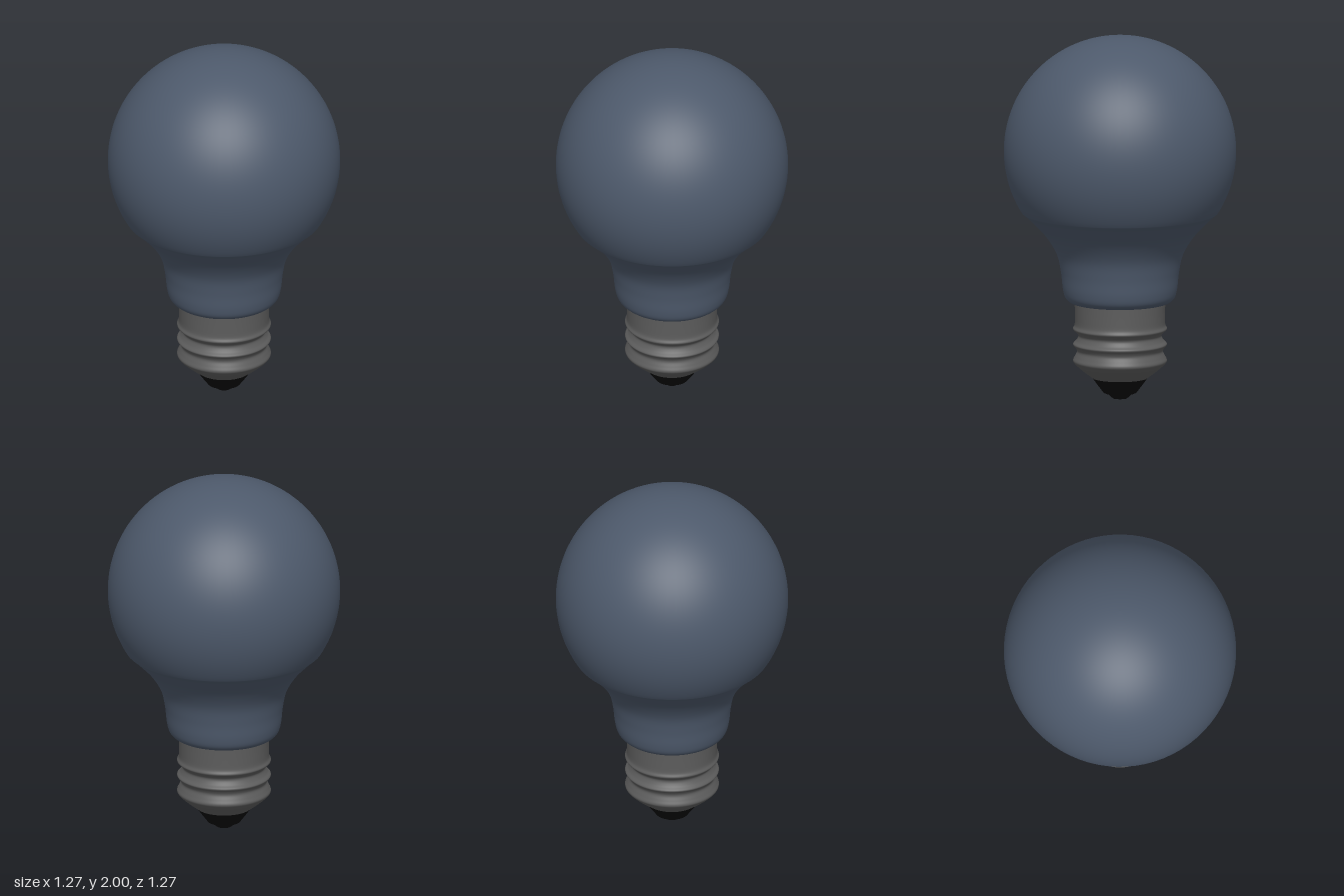
import * as THREE from 'three';

const glass = new THREE.MeshStandardMaterial({ color: 0x4d596b });
glass.name = 'slate blue glass';
const metal = new THREE.MeshStandardMaterial({ color: 0x5c5c5c });
metal.name = 'grey metal';
const black = new THREE.MeshStandardMaterial({ color: 0x0a0a0a });
black.name = 'black insulator';

const toPoints = (list) => list.map(([r, y]) => new THREE.Vector2(r, y));
const smooth = (list, n) => new THREE.SplineCurve(toPoints(list)).getPoints(n);

// Revolve a bottom-to-top profile around the y axis
function revolve(name, points, material) {
  const mesh = new THREE.Mesh(new THREE.LatheGeometry(points, 72), material);
  mesh.name = name;
  return mesh;
}

export function createModel() {
  const bulb = new THREE.Group();
  bulb.name = 'lightBulb';

  // Glass envelope: flared neck that runs into a spherical dome
  const radius = 0.633, centre = 1.367, start = -0.56;
  const neck = smooth([
    [0.235, 0.528], [0.27, 0.535], [0.298, 0.56], [0.312, 0.61], [0.322, 0.7],
    [0.345, 0.8], [0.405, 0.9], [0.485, 0.985],
    [radius * Math.cos(start), centre + radius * Math.sin(start)],
  ], 48);
  const dome = [];
  for (let i = 1; i <= 48; i++) {
    const a = start + (Math.PI / 2 - start) * i / 48;
    dome.push(new THREE.Vector2(Math.max(0, radius * Math.cos(a)), centre + radius * Math.sin(a)));
  }
  bulb.add(revolve('glassEnvelope', [...neck, ...dome], glass));

  // Screw cap: tapered bottom, three rounded ridges and a plain collar
  const cap = smooth([
    [0.15, 0.115], [0.2, 0.153], [0.24, 0.188], [0.256, 0.21], [0.246, 0.235],
    [0.234, 0.262], [0.241, 0.282], [0.256, 0.302], [0.238, 0.322], [0.226, 0.348],
    [0.238, 0.368], [0.256, 0.386], [0.247, 0.41], [0.246, 0.46], [0.247, 0.54],
  ], 72);
  bulb.add(revolve('screwCap', cap, metal));

  // Insulator cone with the contact button at its foot
  bulb.add(revolve('insulator', toPoints([
    [0.075, 0.028], [0.09, 0.034], [0.125, 0.08], [0.15, 0.115],
  ]), black));
  bulb.add(revolve('contactButton', toPoints([
    [0, 0], [0.038, 0.002], [0.052, 0.012], [0.062, 0.024], [0.075, 0.028],
  ]), black));

  return bulb;
}
